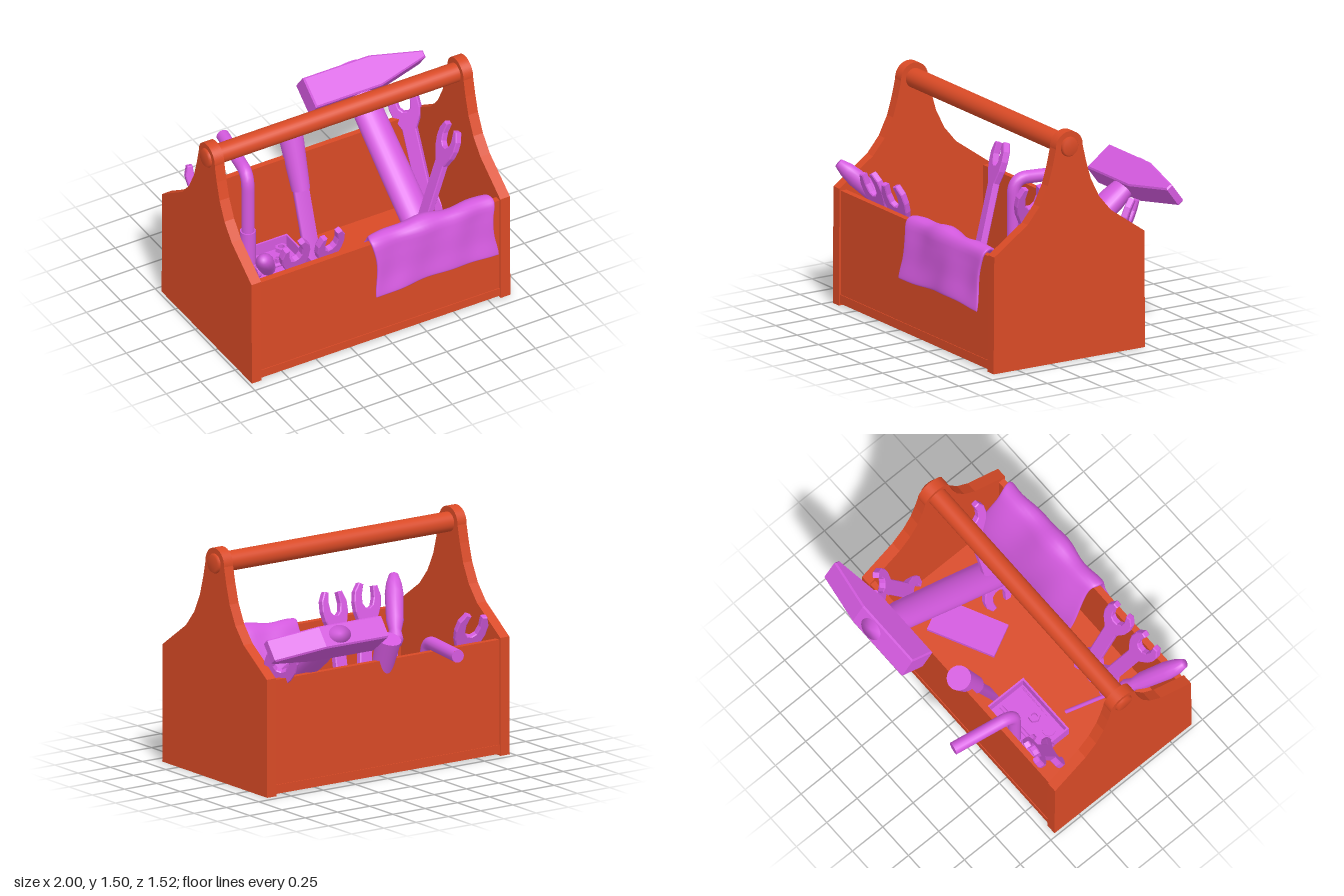
import * as THREE from 'three';
import { mergeVertices } from 'three/addons/utils/BufferGeometryUtils.js';
import { ParametricGeometry } from 'three/addons/geometries/ParametricGeometry.js';

const V = (x, y, z) => new THREE.Vector3(x, y, z);
const UP = V(0, 1, 0);

export function createModel() {
  const root = new THREE.Group();
  const orange = new THREE.MeshStandardMaterial({ color: 0xd94a26 });
  const purple = new THREE.MeshStandardMaterial({ color: 0xd45adf });
  const purpleCloth = new THREE.MeshStandardMaterial({ color: 0xd45adf, side: THREE.DoubleSide });

  function add(name, geo, mat, parent = root) {
    const m = new THREE.Mesh(geo, mat);
    m.name = name;
    parent.add(m);
    return m;
  }
  function group(name) {
    const g = new THREE.Group();
    g.name = name;
    root.add(g);
    return g;
  }
  // box given by its low and high corners
  function box(name, a, b, mat, parent) {
    const m = add(name, new THREE.BoxGeometry(b[0] - a[0], b[1] - a[1], b[2] - a[2]), mat, parent);
    m.position.set((a[0] + b[0]) / 2, (a[1] + b[1]) / 2, (a[2] + b[2]) / 2);
    return m;
  }
  // round rod between two points
  function rod(name, top, bottom, rTop, rBottom, sides, mat, parent) {
    const d = top.clone().sub(bottom);
    const m = add(name, new THREE.CylinderGeometry(rTop, rBottom, d.length(), sides), mat, parent);
    m.position.copy(top).add(bottom).multiplyScalar(0.5);
    m.quaternion.setFromUnitVectors(UP, d.normalize());
    return m;
  }

  // End panels with a curved gable, drawn in (z, y)
  const midZ = 0.112;
  const side = [[0.565, 0.01], [0.56, 0.775], [0.31, 0.95], [0.222, 1.055], [0.16, 1.18], [0.125, 1.3], [0.1, 1.41]];
  const gable = new THREE.Shape();
  side.forEach(([z, y], i) => (i ? gable.lineTo(z, y) : gable.moveTo(z, y)));
  gable.absarc(0, 1.415, 0.1, 0.05, Math.PI - 0.05, false);
  side.slice().reverse().forEach(([z, y]) => gable.lineTo(-z, y));
  const panelGeo = new THREE.ExtrudeGeometry(gable, { depth: 0.07, bevelEnabled: false, curveSegments: 20 });
  for (const [name, x] of [['rightEndPanel', -0.91], ['leftEndPanel', 0.9]]) {
    const p = add(name, panelGeo, orange);
    p.rotation.y = -Math.PI / 2;
    p.position.set(x, 0, midZ);
  }

  // Box walls and floor
  box('frontPanel', [-0.91, 0.08, 0.62], [0.83, 0.762, 0.662], orange);
  box('backPanel', [-0.91, 0.08, -0.438], [0.83, 0.762, -0.4], orange);
  box('floor', [-0.91, 0.022, -0.443], [0.83, 0.08, 0.667], orange);

  // Carrying bar with chamfered ends
  const r = 0.064;
  const bar = add('carryingBar', new THREE.LatheGeometry([[0, -0.96], [r - 0.01, -0.96], [r, -0.945],
    [r, 0.945], [r - 0.01, 0.96], [0, 0.96]].map(([a, b]) => new THREE.Vector2(a, b)), 32), orange);
  bar.rotation.z = -Math.PI / 2;
  bar.position.set(-0.04, 1.415, midZ);

  // Hammer, leaning out over the back
  const hammer = group('hammer');
  hammer.position.set(0.515, 1.005, -0.615);
  hammer.rotation.x = -0.927;
  const head = new THREE.Shape();
  [[-0.34, -0.095], [0.13, -0.095], [0.475, -0.015], [0.475, 0.015], [0.13, 0.095], [-0.34, 0.095]]
    .forEach(([x, y], i) => (i ? head.lineTo(x, y) : head.moveTo(x, y)));
  const headGeo = new THREE.ExtrudeGeometry(head, { depth: 0.135, bevelSize: 0.01, bevelThickness: 0.01, bevelSegments: 1 });
  headGeo.translate(0, 0, -0.0675);
  add('hammerHead', headGeo, purple, hammer);
  const shaft = add('hammerHandle', new THREE.LatheGeometry([[0, -1.2], [0.09, -1.2], [0.105, -1.16], [0.105, -0.7],
    [0.1, -0.2], [0.08, -0.06], [0.08, 0.112], [0, 0.112]].map(([a, b]) => new THREE.Vector2(a, b)), 24), purple, hammer);
  shaft.scale.z = 0.75;

  // Double open-ended wrenches
  function wrench(name, top, bottom, normal) {
    const jaw = [[0.042, -0.17], [0.085, -0.09], [0.1, -0.03], [0.098, 0.035], [0.07, 0.09], [0.045, 0.085],
      [0.055, 0.02], [0.045, -0.035], [0.018, -0.06]];
    const half = top.distanceTo(bottom) / 2;
    const end = [...jaw, ...jaw.slice().reverse().map(([x, y]) => [-x, y])].map(([x, y]) => [x, y + half]);
    const pts = [...end, ...end.map(([x, y]) => [-x, -y])];
    const geo = new THREE.ExtrudeGeometry(new THREE.Shape(pts.map(([x, y]) => new THREE.Vector2(x, y))),
      { depth: 0.032, bevelSize: 0.006, bevelThickness: 0.006, bevelSegments: 1 });
    geo.translate(0, 0, -0.016);
    const m = add(name, geo, purple);
    const y = top.clone().sub(bottom).normalize();
    const x = y.clone().cross(normal).normalize();
    m.quaternion.setFromRotationMatrix(new THREE.Matrix4().makeBasis(x, y, x.clone().cross(y)));
    m.position.copy(top).add(bottom).multiplyScalar(0.5);
  }
  wrench('frontWrenchA', V(-0.625, 0.85, 0.6), V(-0.45, 0.2, 0.39), V(0, 0, 1));
  wrench('frontWrenchB', V(-0.37, 0.84, 0.6), V(-0.315, 0.2, 0.39), V(0.1, 0, 1));
  wrench('backWrench', V(-0.72, 0.86, -0.4), V(-0.61, 0.18, -0.15), V(-0.15, 0, 1));
  wrench('leftWrench', V(0.765, 0.86, -0.42), V(0.775, 0.2, -0.13), V(0.7, 0, -0.7));
  wrench('tallWrench', V(0.69, 1.04, 0.27), V(0.42, 0.2, 0.26), V(1, 0, 0));

  // Screwdriver in the front right corner
  const driver = group('screwdriver');
  const dTop = V(-0.9, 0.95, 0.685), dLow = V(-0.68, 0.6, 0.36);
  const dLen = dTop.distanceTo(dLow);
  const grip = add('screwdriverGrip', new THREE.LatheGeometry([[0, 0], [0.04, 0], [0.052, 0.04], [0.04, 0.1], [0.056, 0.18],
    [0.06, 0.38], [0.05, 0.46], [0.03, dLen], [0, dLen]].map(([a, b]) => new THREE.Vector2(a, b)), 12), purple, driver);
  grip.position.copy(dLow);
  grip.quaternion.setFromUnitVectors(UP, dTop.clone().sub(dLow).normalize());
  rod('screwdriverShaft', dLow, V(-0.48, 0.28, 0.065), 0.013, 0.013, 12, purple, driver);

  // Chisel leaning on the back panel
  const chisel = group('chisel');
  const cTop = V(-0.045, 0.9, -0.45), cMid = V(-0.045, 0.55, -0.32), cLow = V(-0.045, 0.1, -0.17);
  rod('chiselGrip', cTop, cMid, 0.08, 0.06, 24, purple, chisel);
  const blade = rod('chiselBlade', cMid, cLow, 0.07, 0.07, 4, purple, chisel);
  blade.geometry.rotateY(Math.PI / 4);
  blade.geometry.scale(1, 1, 0.4);

  // Angled socket bar
  const key = group('socketBar');
  const path = new THREE.CurvePath();
  const k0 = V(-0.43, 0.33, -0.32), k1 = V(-0.43, 0.7, -0.32), kc = V(-0.43, 0.805, -0.32);
  const k2 = V(-0.415, 0.805, -0.41), k3 = V(-0.357, 0.805, -0.76);
  path.add(new THREE.LineCurve3(k0, k1));
  path.add(new THREE.QuadraticBezierCurve3(k1, kc, k2));
  path.add(new THREE.LineCurve3(k2, k3));
  add('bentBar', new THREE.TubeGeometry(path, 40, 0.042, 16), purple, key);
  const out = k3.clone().sub(k2).normalize();
  const cap = add('barEnd', new THREE.CircleGeometry(0.042, 16), purple, key);
  cap.position.copy(k3);
  cap.quaternion.setFromUnitVectors(V(0, 0, 1), out);
  rod('socket', V(-0.43, 0.37, -0.32), V(-0.43, 0.12, -0.32), 0.05, 0.05, 16, purple, key);

  // Tray of small hardware
  const tray = group('hardwareTray');
  box('trayFloor', [-0.55, 0.08, -0.39], [-0.105, 0.1, 0.03], purple, tray);
  for (const x of [-0.55, -0.117]) box('traySide', [x, 0.08, -0.39], [x + 0.012, 0.18, 0.03], purple, tray);
  for (const z of [-0.39, 0.018]) box('trayEnd', [-0.55, 0.08, z], [-0.105, 0.18, z + 0.012], purple, tray);
  for (const [x, z, s] of [[-0.17, -0.35, 0.04], [-0.36, -0.27, 0.045], [-0.33, -0.07, 0.04], [-0.25, -0.26, 0.022]]) {
    const hex = new THREE.Shape(), hole = new THREE.Path();
    for (let i = 0; i < 6; i++) {
      const a = i * Math.PI / 3;
      hex[i ? 'lineTo' : 'moveTo'](s * Math.cos(a), s * Math.sin(a));
    }
    hole.absarc(0, 0, s * 0.5, 0, Math.PI * 2, true);
    hex.holes.push(hole);
    const nut = add('nut', new THREE.ExtrudeGeometry(hex, { depth: 0.03, bevelEnabled: false }), purple, tray);
    nut.rotation.x = -Math.PI / 2;
    nut.position.set(x, 0.1, z);
  }
  rod('washer', V(-0.455, 0.11, -0.055), V(-0.455, 0.1, -0.055), 0.042, 0.042, 20, purple, tray);
  rod('boltShank', V(-0.15, 0.13, -0.19), V(-0.43, 0.13, -0.19), 0.014, 0.014, 12, purple, tray);
  rod('boltHead', V(-0.425, 0.13, -0.19), V(-0.45, 0.13, -0.19), 0.04, 0.04, 6, purple, tray);
  rod('nail', V(-0.13, 0.11, 0), V(-0.39, 0.11, -0.005), 0.006, 0.001, 8, purple, tray);

  // Loose flat plate on the floor
  const plate = add('flatPlate', new THREE.BoxGeometry(0.46, 0.03, 0.23), purple);
  plate.position.set(0.4, 0.095, 0);
  plate.rotation.y = 0.46;

  // Cloth draped over the front panel
  const drape = new THREE.CatmullRomCurve3([V(0, 0.41, 0.735), V(0, 0.53, 0.708), V(0, 0.68, 0.69), V(0, 0.775, 0.668),
    V(0, 0.785, 0.61), V(0, 0.7, 0.54), V(0, 0.52, 0.45), V(0, 0.34, 0.39)]);
  const clothGeo = new ParametricGeometry((u, v, target) => {
    const e = -Math.cos(Math.PI * u), a = v * Math.PI * 2;
    const s = (1 - Math.cos(a)) / 2, w = Math.sin(a);
    const p = drape.getPoint(s), t = drape.getTangent(s);
    const thick = 0.023 * Math.sign(w) * Math.pow(Math.abs(w), 0.5) * Math.pow(Math.max(0, 1 - e * e), 0.25);
    const ripple = 0.009 * Math.sin(e * 5 + s * 4) + 0.006 * Math.sin(e * 9 - s * 7);
    const n = thick + ripple;
    const width = 0.437 + 0.012 * Math.cos(s * 14);
    const hem = 0.012 * Math.sin(e * 3 + 1) * Math.cos(Math.PI * s);
    target.set(0.337 + e * width, p.y + t.z * -n + hem, p.z + t.y * n);
  }, 40, 80);
  clothGeo.deleteAttribute('uv');
  clothGeo.deleteAttribute('normal');
  const cloth = mergeVertices(clothGeo, 1e-4);
  cloth.computeVertexNormals();
  add('cloth', cloth, purpleCloth);

  return root;
}
